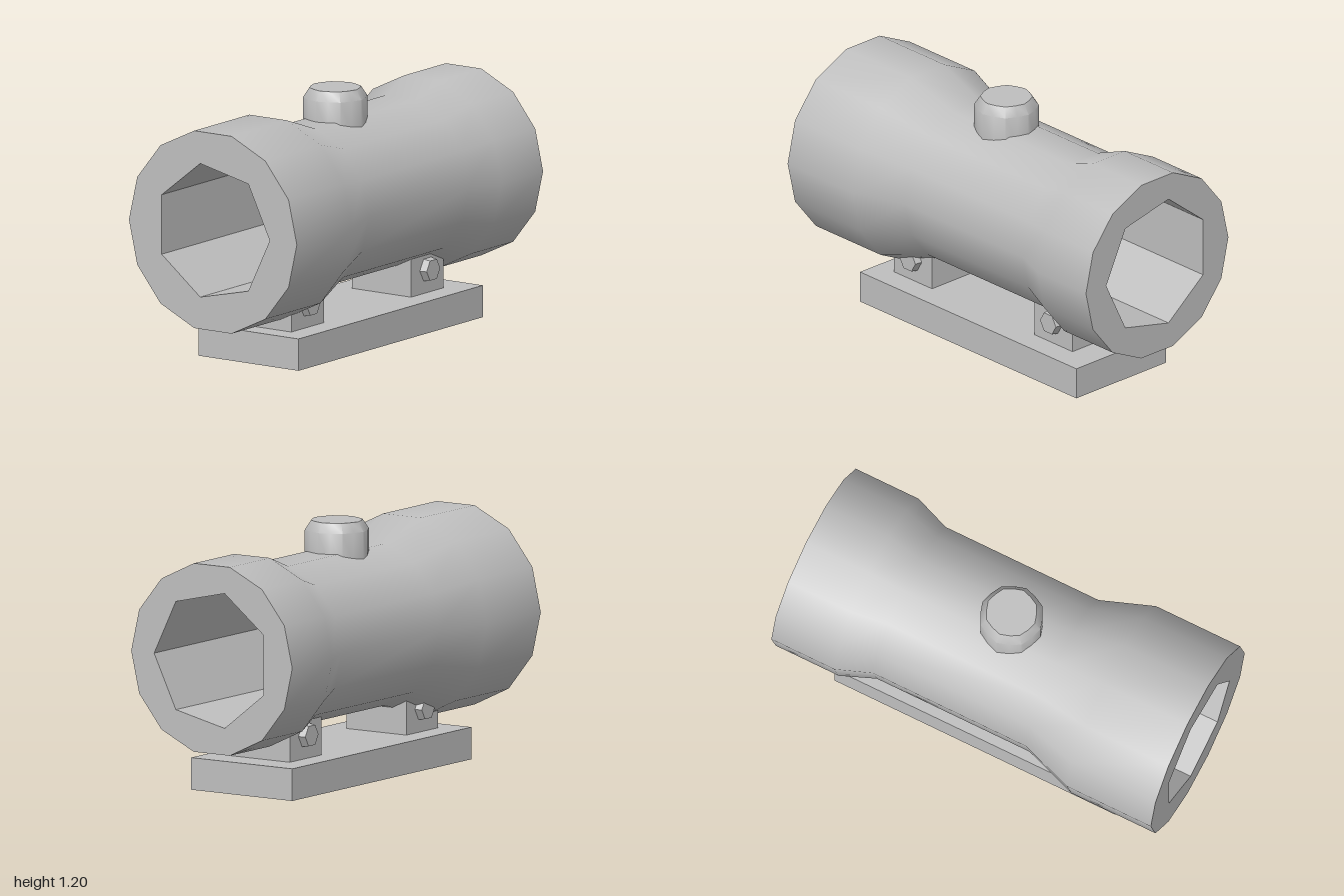
import * as THREE from 'three';
import { toCreasedNormals } from 'three/addons/utils/BufferGeometryUtils.js';

const grey = new THREE.MeshStandardMaterial({ color: 0xbfbfbf });
grey.name = 'grey';

const AXIS_Y = 0.675, BORE = 0.327;
const vec = ([x, y]) => new THREE.Vector2(x, y);

// Points of a regular polygon with its first corner on the x axis
const ring = (r, n) => Array.from({ length: n }, (_, i) => {
  const a = (i / n) * Math.PI * 2;
  return new THREE.Vector2(r * Math.cos(a), r * Math.sin(a));
});

export function createModel() {
  const model = new THREE.Group();
  model.name = 'tubeSight';

  const add = (name, geometry, x = 0, y = 0, z = 0) => {
    const mesh = new THREE.Mesh(geometry, grey);
    mesh.name = name;
    mesh.position.set(x, y, z);
    model.add(mesh);
    return mesh;
  };

  // Outer tube, flared at both ends; profile is [radius, x]
  const profile = [[0.483, -1], [0.483, -0.56], [0.392, -0.30], [0.392, 0.50], [0.457, 0.67], [0.457, 1]];
  add('tube', new THREE.LatheGeometry(profile.map(vec), 14).rotateZ(-Math.PI / 2), 0, AXIS_Y);

  // Seven-sided bore, facing inward
  const bore = new THREE.LatheGeometry([[BORE, 1], [BORE, -1]].map(vec), 7)
    .rotateZ(-Math.PI / 2).toNonIndexed();
  bore.computeVertexNormals();
  add('bore', bore, 0, AXIS_Y);

  // End faces between the tube and the bore
  for (const [side, r] of [[1, 0.457], [-1, 0.483]]) {
    const face = new THREE.Shape(ring(r, 14));
    face.holes.push(new THREE.Path(ring(-side * BORE, 7)));
    add(side > 0 ? 'leftEndFace' : 'rightEndFace',
      new THREE.ShapeGeometry(face).rotateY(side * Math.PI / 2), side, AXIS_Y);
  }

  // Fluted adjustment knob: every other corner is pulled inward
  const knob = new THREE.LatheGeometry(
    [[0.152, 1.0], [0.152, 1.155], [0.122, 1.2], [0, 1.2]].map(vec), 16);
  const p = knob.attributes.position;
  for (let i = 0; i < p.count; i++) {
    const k = Math.floor(i / 4) % 2 ? 0.96 : 1;
    p.setXYZ(i, p.getX(i) * k, p.getY(i), p.getZ(i) * k);
  }
  add('knob', toCreasedNormals(knob, 0.7), -0.025);

  // Base plate
  add('base', new THREE.BoxGeometry(1.47, 0.152, 0.574), 0.02, 0.076);

  // Two clamps, each with a hexagonal bolt head front and back
  for (const x of [-0.48, 0.475]) {
    add('clamp', new THREE.BoxGeometry(0.26, 0.19, 0.34), x, 0.245);
    for (const side of [1, -1]) {
      const bolt = new THREE.CylinderGeometry(0.054, 0.061, 0.04, 6)
        .rotateY(Math.PI / 6).rotateX(side * Math.PI / 2);
      add('bolt', toCreasedNormals(bolt, 0.3), x, 0.264, side * 0.185);
    }
  }
  return model;
}
